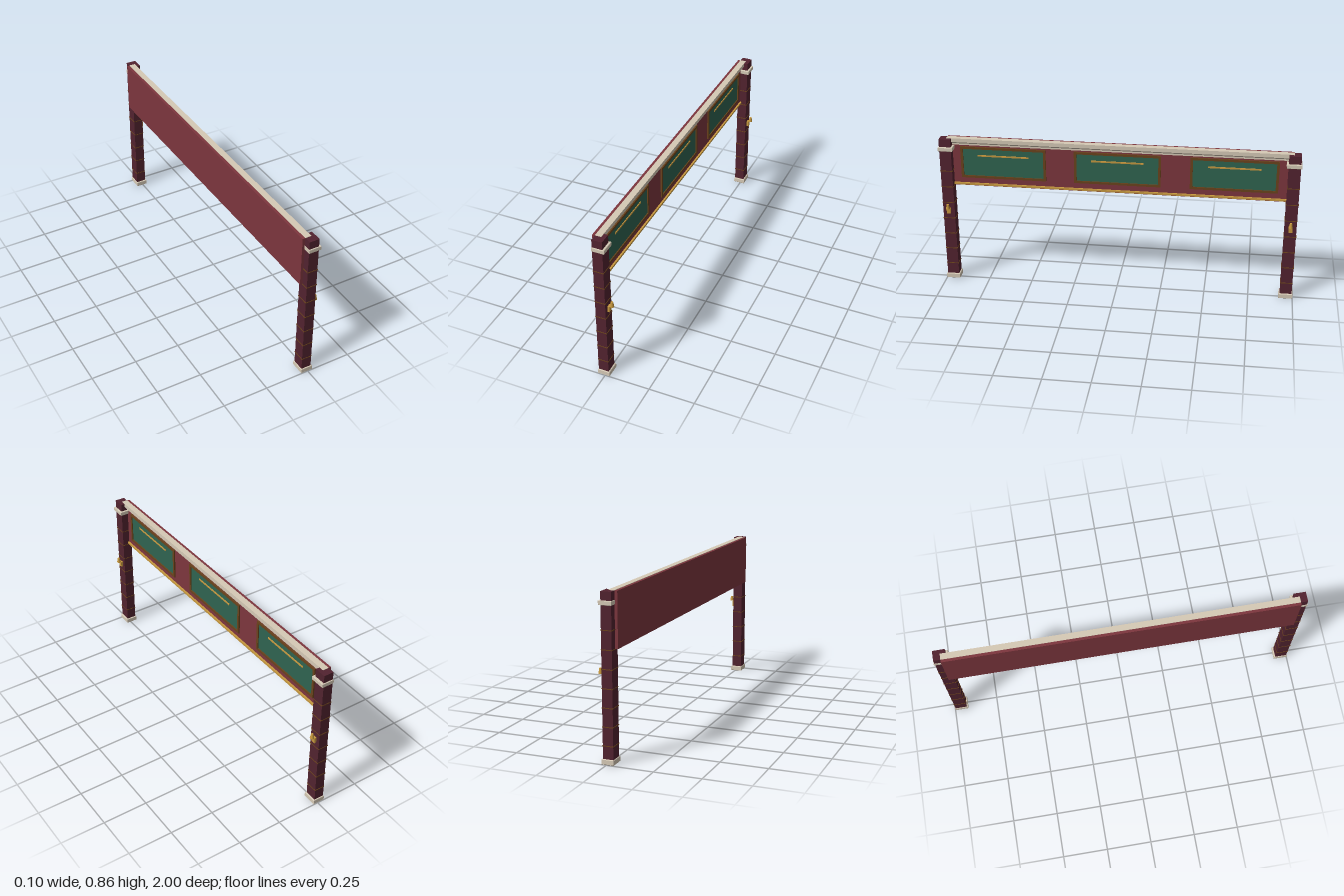
import * as THREE from 'three';

const material = (name, color) => {
  const m = new THREE.MeshStandardMaterial({ color });
  m.name = name;
  return m;
};

export function createModel() {
  const maroon = material('dark maroon', 0x52232f);
  const red = material('board red', 0x7d363e);
  const stone = material('pale stone', 0xd6cab6);
  const gold = material('gold', 0xc8993f);
  const brown = material('bronze brown', 0x6b431c);
  const green = material('panel green', 0x2f6450);

  const model = new THREE.Group();
  model.name = 'gateway';

  const add = (parent, name, geometry, mat) => {
    const mesh = new THREE.Mesh(geometry, mat);
    mesh.name = name;
    parent.add(mesh);
    return mesh;
  };

  // Box given by its limits on each axis
  const box = (parent, name, mat, [x0, x1], [y0, y1], [z0, z1]) => {
    const mesh = add(parent, name, new THREE.BoxGeometry(x1 - x0, y1 - y0, z1 - z0), mat);
    mesh.position.set((x0 + x1) / 2, (y0 + y1) / 2, (z0 + z1) / 2);
    return mesh;
  };

  // Block with chamfered edges, used for the stone trim
  const block = (parent, name, [x0, x1], [y0, y1], [z0, z1], c = 0.003) => {
    const shape = new THREE.Shape();
    shape.moveTo(x0 + c, -z0 - c);
    shape.lineTo(x0 + c, -z1 + c);
    shape.lineTo(x1 - c, -z1 + c);
    shape.lineTo(x1 - c, -z0 - c);
    shape.closePath();
    const geometry = new THREE.ExtrudeGeometry(shape, {
      depth: y1 - y0 - 2 * c, bevelSize: c, bevelThickness: c, bevelSegments: 1,
    });
    geometry.rotateX(-Math.PI / 2);
    geometry.translate(0, y0 + c, 0);
    return add(parent, name, geometry, stone);
  };

  // Posts with stone foot, collar, ring joints and a small lamp
  for (const side of [1, -1]) {
    const post = new THREE.Group();
    post.name = side > 0 ? 'frontPost' : 'backPost';
    const zs = (a, b) => (side > 0 ? [a, b] : [-b, -a]);

    box(post, 'shaft', maroon, [-0.037, 0.019], [0.004, 0.862], zs(0.929, 0.995));
    block(post, 'foot', [-0.04, 0.026], [0, 0.029], zs(0.922, 1));
    box(post, 'footSocket', maroon, [-0.022, 0.008], [-0.0005, 0.003], zs(0.946, 0.976));
    block(post, 'collar', [-0.039, 0.03], [0.795, 0.818], zs(0.918, 1), 0.002);

    for (let i = 1; i <= 7; i++) {
      const y = i * 0.0963;
      box(post, 'ring', brown, [-0.039, 0.021], [y - 0.002, y + 0.002], zs(0.927, 0.997));
    }

    box(post, 'lampBracket', gold, [0.019, 0.031], [0.417, 0.45], zs(0.951, 0.973));
    const shade = add(post, 'lampShade', new THREE.CylinderGeometry(0.0065, 0.0115, 0.028, 12), gold);
    shade.position.set(0.0395, 0.464, side * 0.962);
    model.add(post);
  }

  // Board spanning the posts
  const beam = new THREE.Group();
  beam.name = 'beam';
  model.add(beam);
  box(beam, 'board', red, [-0.052, -0.022], [0.578, 0.862], [-0.957, 0.957]);
  box(beam, 'lowerTrim', gold, [-0.024, -0.012], [0.584, 0.595], [-0.94, 0.94]);

  // Stone top rail with a moulded underside
  const profile = new THREE.Shape();
  [[-0.037, 0.864], [-0.037, 0.822], [-0.017, 0.822], [-0.017, 0.831],
    [-0.008, 0.838], [-0.003, 0.842], [-0.003, 0.864]]
    .forEach(([x, y], i) => (i ? profile.lineTo(x, y) : profile.moveTo(x, y)));
  profile.closePath();
  const rail = add(beam, 'topRail',
    new THREE.ExtrudeGeometry(profile, { depth: 1.914, bevelEnabled: false }), stone);
  rail.position.z = -0.957;

  // Three framed panels, each with a gold line
  for (const z of [0.643, 0.002, -0.641]) {
    const panel = new THREE.Group();
    panel.name = 'panel';
    panel.position.z = z;
    beam.add(panel);
    box(panel, 'panelFace', green, [-0.024, -0.0195], [0.632, 0.808], [-0.235, 0.235]);
    for (const s of [1, -1]) {
      const y = 0.7205 + s * 0.086;
      box(panel, 'frameBar', brown, [-0.024, -0.014], [y - 0.0065, y + 0.0065], [-0.241, 0.241]);
      box(panel, 'frameStile', brown, [-0.024, -0.014], [0.64, 0.801],
        s > 0 ? [0.227, 0.241] : [-0.241, -0.227]);
    }
    box(panel, 'goldLine', gold, [-0.021, -0.016], [0.757, 0.766], [-0.145, 0.145]);
  }

  return model;
}
